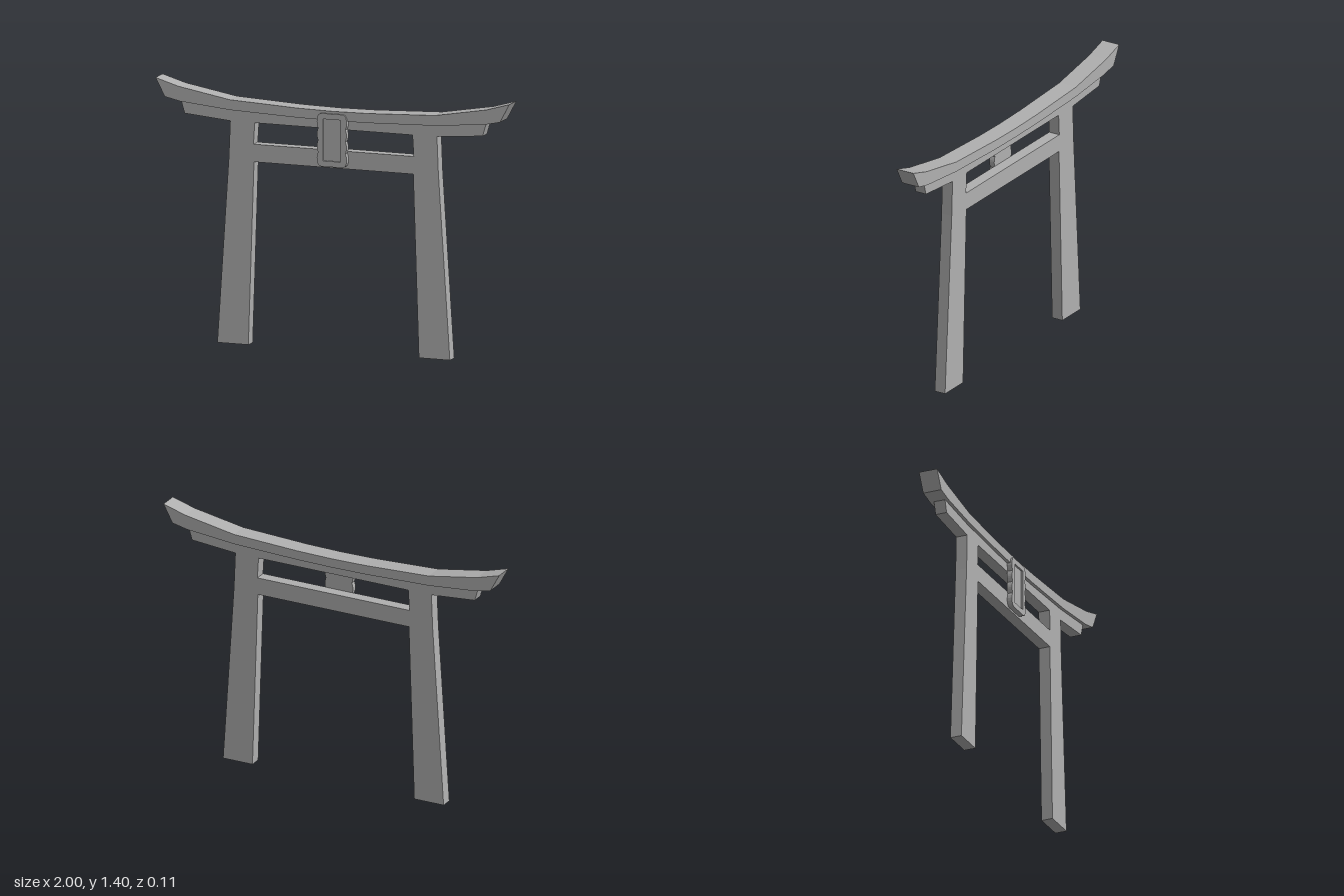
import * as THREE from 'three';

const stone = new THREE.MeshStandardMaterial({ color: 0xb0b0b0 });
stone.name = 'stone grey';

// Extrude a shape between two depths
function slab(name, shape, zBack, zFront) {
  const geo = new THREE.ExtrudeGeometry(shape, {
    depth: zFront - zBack, bevelEnabled: false, curveSegments: 6,
  });
  geo.translate(0, 0, zBack);
  const mesh = new THREE.Mesh(geo, stone);
  mesh.name = name;
  return mesh;
}

// Closed outline from a right half, mirrored to the left (bottom centre to top centre)
function mirrored(half) {
  const left = half.filter(([x]) => x > 0).reverse().map(([x, y]) => [-x, y]);
  return new THREE.Shape([...half, ...left].map(([x, y]) => new THREE.Vector2(x, y)));
}

function rectPath(w, y0, y1) {
  return new THREE.Path([[-w, y0], [-w, y1], [w, y1], [w, y0]].map(([x, y]) => new THREE.Vector2(x, y)));
}

// Plaque outline with scalloped sides and rounded corners
function plaqueShape() {
  const s = new THREE.Shape();
  const notches = [1.07, 1.135, 1.2];
  s.moveTo(-0.06, 0.995);
  s.lineTo(0.06, 0.995);
  s.bezierCurveTo(0.088, 0.995, 0.09, 1.045, 0.077, notches[0]);
  for (let i = 1; i < 3; i++) {
    s.quadraticCurveTo(0.09, (notches[i - 1] + notches[i]) / 2, 0.077, notches[i]);
  }
  s.bezierCurveTo(0.09, 1.225, 0.088, 1.28, 0.06, 1.28);
  s.lineTo(-0.06, 1.28);
  s.bezierCurveTo(-0.088, 1.28, -0.09, 1.225, -0.077, notches[2]);
  for (let i = 1; i >= 0; i--) {
    s.quadraticCurveTo(-0.09, (notches[i + 1] + notches[i]) / 2, -0.077, notches[i]);
  }
  s.bezierCurveTo(-0.09, 1.045, -0.088, 0.995, -0.06, 0.995);
  return s;
}

export function createModel() {
  const gate = new THREE.Group();
  gate.name = 'gate';

  // Sweeping upper lintel
  gate.add(slab('upperLintel', mirrored([
    [0, 1.243], [0.2, 1.245], [0.58, 1.258], [0.86, 1.284], [0.947, 1.303],
    [1, 1.402], [0.87, 1.364], [0.58, 1.313], [0.2, 1.296], [0, 1.293],
  ]), -0.057, 0.048));

  // Pillars, crossbar and lower lintel form one frame with a window
  const frame = mirrored([
    [0, 0.985], [0.45, 0.985], [0.482, 0], [0.657, 0], [0.592, 1],
    [0.584, 1.196], [0.842, 1.218], [0.862, 1.285], [0.58, 1.262], [0.2, 1.25], [0, 1.248],
  ]);
  frame.holes.push(new THREE.Path([[-0.453, 1.08], [-0.446, 1.195], [0.446, 1.195], [0.453, 1.08]]
    .map(([x, y]) => new THREE.Vector2(x, y))));
  gate.add(slab('frame', frame, -0.034, 0.03));

  // Plaque: backing plate and raised rim around a recessed panel
  const plaque = new THREE.Group();
  plaque.name = 'plaque';
  plaque.add(slab('plaqueBacking', plaqueShape(), 0.028, 0.048));
  const rim = plaqueShape();
  rim.holes.push(rectPath(0.05, 1.025, 1.25));
  plaque.add(slab('plaqueRim', rim, 0.048, 0.058));
  gate.add(plaque);

  return gate;
}
